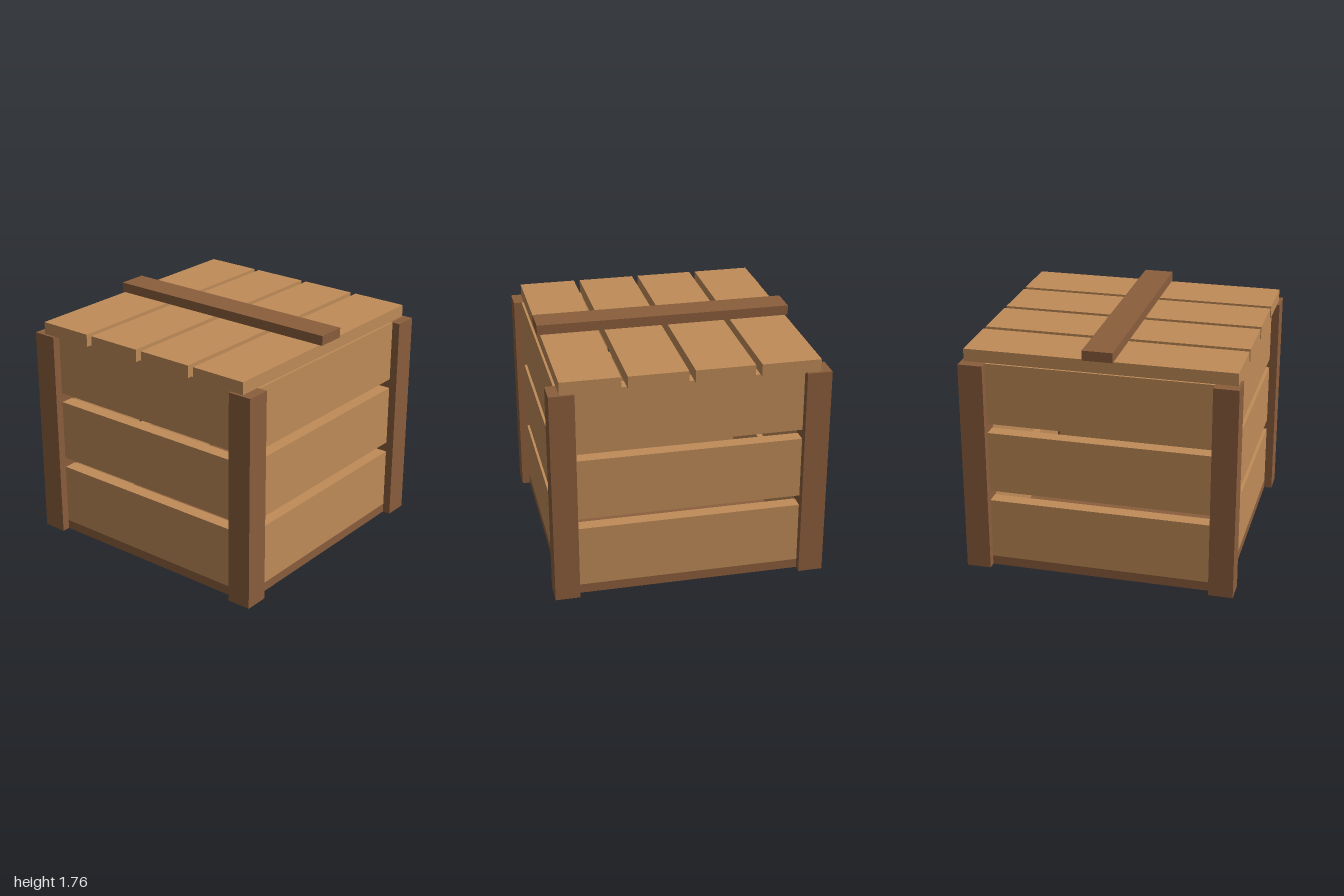
import * as THREE from 'three';

export function createModel() {
  const crate = new THREE.Group();
  crate.name = 'crate';

  const lightWood = new THREE.MeshStandardMaterial({ color: 0xc08c58 });
  lightWood.name = 'lightWood';
  const darkWood = new THREE.MeshStandardMaterial({ color: 0x8b5e3c });
  darkWood.name = 'darkWood';

  // Box placed by its base centre
  function addBox(parent, name, material, [w, h, d], [x, y, z]) {
    const mesh = new THREE.Mesh(new THREE.BoxGeometry(w, h, d), material);
    mesh.name = name;
    mesh.position.set(x, y + h / 2, z);
    parent.add(mesh);
  }

  const post = 0.18; // post thickness
  const wallHeight = 1.6;
  const boardHeight = 0.46;
  const boardLength = 2 - 2 * post;

  // Floor
  addBox(crate, 'floor', darkWood, [1.88, 0.07, 1.88], [0, 0, 0]);

  // Corner posts
  for (const sx of [-1, 1]) {
    for (const sz of [-1, 1]) {
      const c = 1 - post / 2;
      addBox(crate, 'cornerPost', darkWood, [post, wallHeight, post], [sx * c, 0, sz * c]);
    }
  }

  // Four walls, each of three boards butted between the posts
  ['frontWall', 'leftWall', 'backWall', 'rightWall'].forEach((name, i) => {
    const wall = new THREE.Group();
    wall.name = name;
    wall.rotation.y = (i * Math.PI) / 2;
    for (const y of [0.07, 0.608, 1.14]) {
      addBox(wall, 'wallBoard', lightWood, [boardLength, boardHeight, 0.1], [0, y, 0.89]);
    }
    crate.add(wall);
  });

  // Lid: four planks and a batten across them
  const lid = new THREE.Group();
  lid.name = 'lid';
  for (let i = 0; i < 4; i++) {
    addBox(lid, 'lidPlank', lightWood, [1.96, 0.092, 0.427], [0, wallHeight, (i - 1.5) * 0.473]);
  }
  addBox(lid, 'lidBatten', darkWood, [0.22, 0.073, 1.89], [0, 1.692, 0]);
  crate.add(lid);

  return crate;
}
